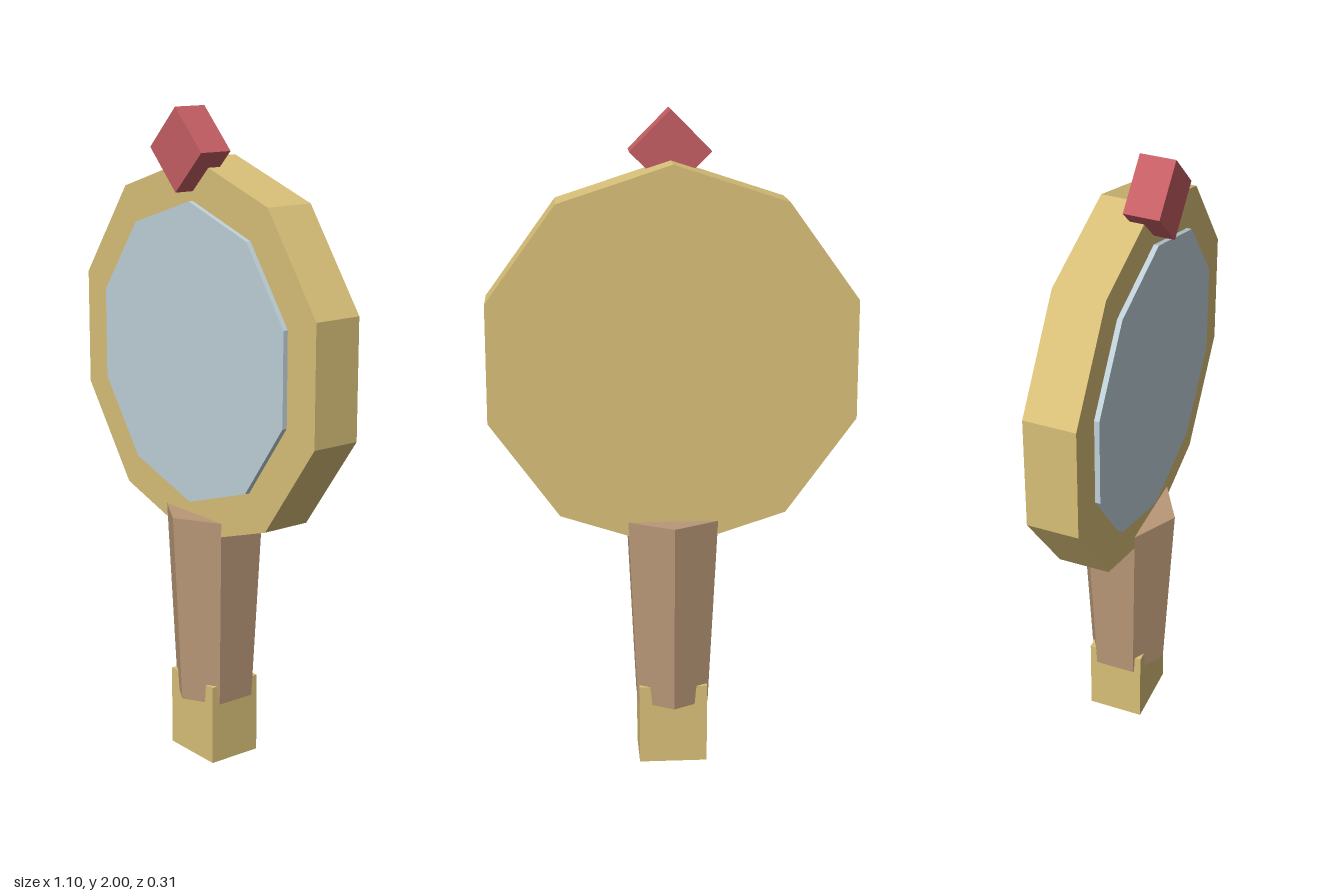
import * as THREE from 'three';

function material(name, color) {
  const m = new THREE.MeshStandardMaterial({ color, flatShading: true });
  m.name = name;
  return m;
}

export function createModel() {
  const model = new THREE.Group();
  model.name = 'handMirror';

  const gold = material('gold', 0xd8bf78);
  const glass = material('mirror glass', 0xbfd0d8);
  const wood = material('wood', 0xba9878);
  const red = material('red gem', 0xc45e63);

  function add(name, geometry, mat, y, z = 0) {
    const mesh = new THREE.Mesh(geometry, mat);
    mesh.name = name;
    mesh.position.set(0, y, z);
    model.add(mesh);
    return mesh;
  }

  // Ten-sided plate facing the front
  const plate = (radius, depth) =>
    new THREE.CylinderGeometry(radius, radius, depth, 10).rotateX(Math.PI / 2);

  // Mirror head
  add('frame', plate(0.578, 0.156), gold, 1.275);
  add('mirrorGlass', plate(0.453, 0.035), glass, 1.275, 0.076);

  // Tapered six-sided handle with a square pommel
  add('handle', new THREE.CylinderGeometry(0.157, 0.125, 0.593, 6), wood, 0.4865);
  add('pommel', new THREE.BoxGeometry(0.209, 0.25, 0.174), gold, 0.125);

  // Gem standing on its edge at the top of the frame
  const gem = add('gem', new THREE.BoxGeometry(0.172, 0.172, 0.105), red, 1.878, 0.088);
  gem.rotation.z = Math.PI / 4;

  return model;
}
